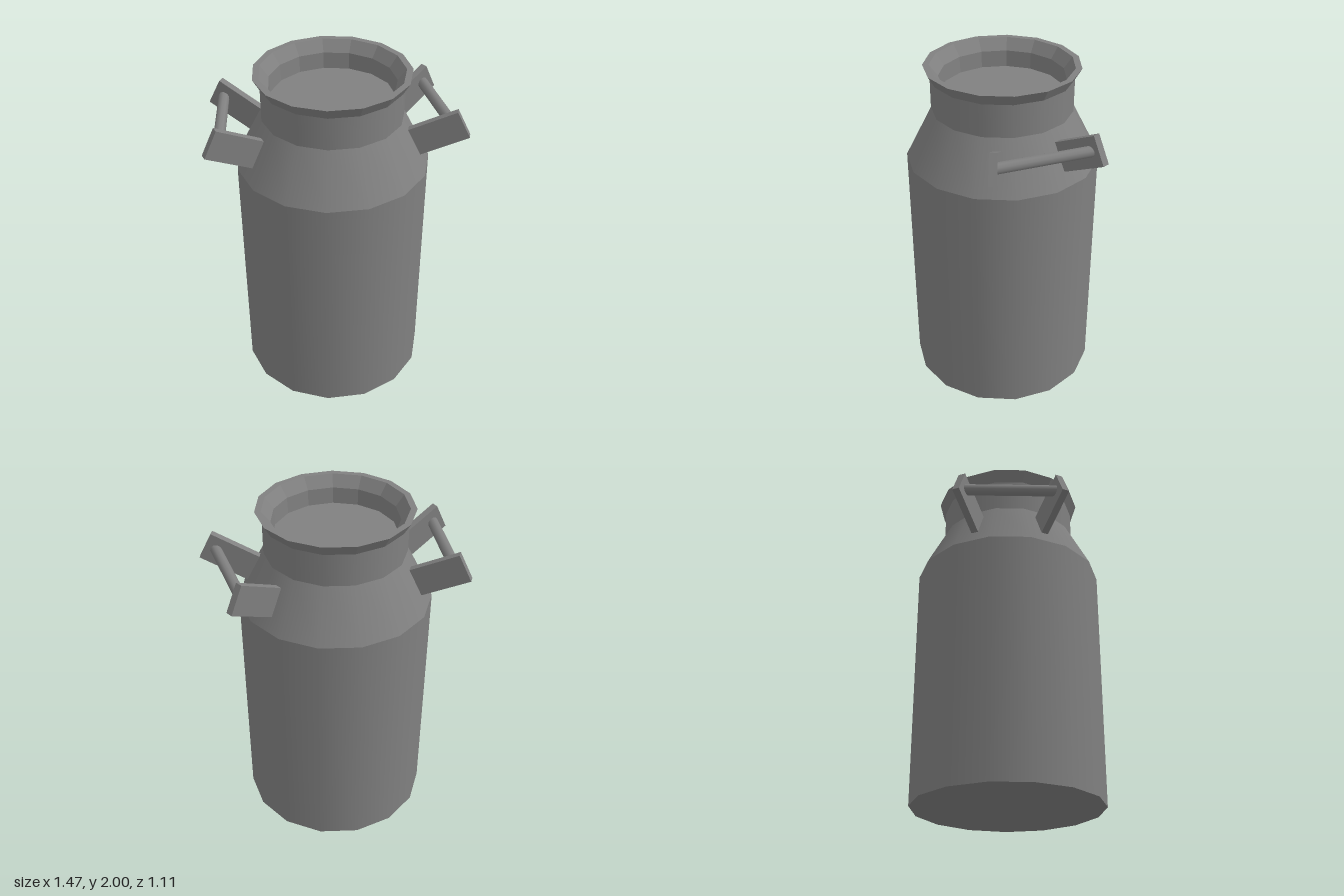
import * as THREE from 'three';

const SIDES = 15;
const CENTER_X = -0.017;

export function createModel() {
  const model = new THREE.Group();
  model.name = 'milkCan';
  const metal = new THREE.MeshStandardMaterial({ color: 0x808080 });
  metal.name = 'grey metal';

  const can = new THREE.Group();
  can.name = 'can';
  can.position.x = CENTER_X;
  model.add(can);

  const add = (name, geometry) => {
    const mesh = new THREE.Mesh(geometry, metal);
    mesh.name = name;
    can.add(mesh);
    return mesh;
  };

  // One crisp-edged band of the turned shell, between two [radius, height] points
  const band = (name, from, to, faceted = false) => {
    let geo = new THREE.LatheGeometry(
      [new THREE.Vector2(...from), new THREE.Vector2(...to)], SIDES, Math.PI / 2);
    if (faceted) {
      geo = geo.toNonIndexed();
      geo.computeVertexNormals();
    }
    add(name, geo);
  };

  // Shell, from the base up the outside and down into the mouth
  band('base', [0, 0], [0.557, 0]);
  band('body', [0.557, 0], [0.557, 1.45]);
  band('shoulder', [0.557, 1.45], [0.405, 1.745]);
  band('neck', [0.405, 1.745], [0.405, 1.935]);
  band('rimFlare', [0.405, 1.935], [0.443, 2], true);
  band('rimLip', [0.443, 2], [0.407, 2]);
  band('mouthFlare', [0.407, 2], [0.358, 1.935], true);
  band('mouthWall', [0.358, 1.935], [0.352, 1.84], true);
  band('mouthFloor', [0.352, 1.84], [0, 1.84]);

  // Point at an azimuth around the can (0 = +x, positive towards +z)
  const polar = (deg, r, y) => {
    const a = THREE.MathUtils.degToRad(deg);
    return new THREE.Vector3(r * Math.cos(a), y, r * Math.sin(a));
  };

  // Handles: two lugs square to the shoulder, joined by a round bar
  for (const [side, azimuths] of [['left', [12, -36]], ['right', [156, 204]]]) {
    for (const deg of azimuths) {
      const lug = add(side + 'HandleLug', new THREE.BoxGeometry(0.305, 0.17, 0.042));
      lug.position.copy(polar(deg, 0.598, 1.67));
      lug.rotation.order = 'YXZ';
      lug.rotation.y = -THREE.MathUtils.degToRad(deg);
      lug.rotation.z = THREE.MathUtils.degToRad(27);
    }
    const [a, b] = azimuths.map((deg) => polar(deg, 0.682, 1.715));
    const bar = add(side + 'HandleBar',
      new THREE.CylinderGeometry(0.032, 0.032, a.distanceTo(b), 10));
    bar.position.copy(a).add(b).multiplyScalar(0.5);
    bar.quaternion.setFromUnitVectors(
      new THREE.Vector3(0, 1, 0), b.clone().sub(a).normalize());
  }

  return model;
}
